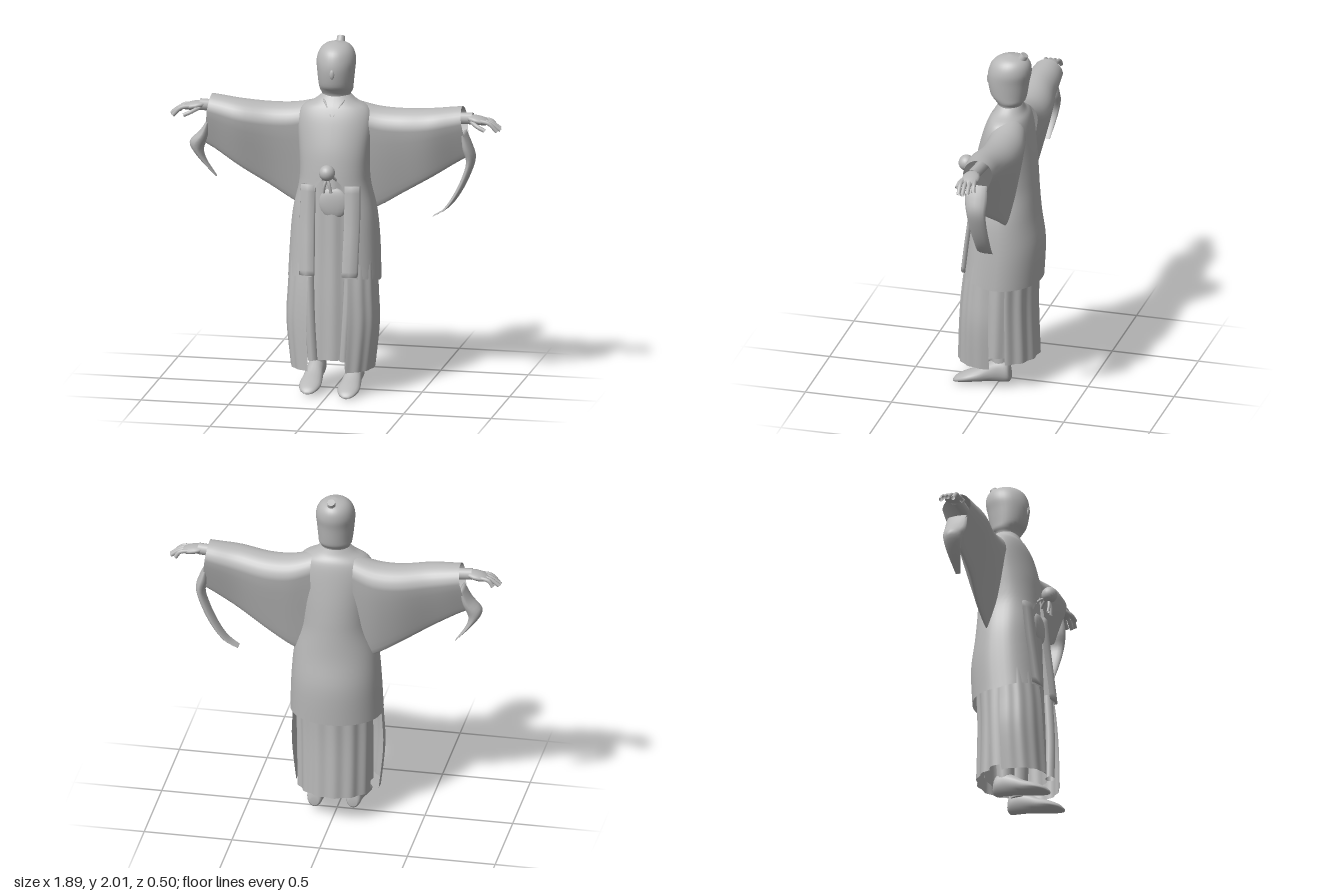
import * as THREE from 'three';

const cloth = new THREE.MeshStandardMaterial({ color: 0xb8b8b8, side: THREE.DoubleSide });
cloth.name = 'plain grey';
const V = (x, y, z) => new THREE.Vector3(x, y, z);

// Skin a surface over rings of equal length
function loft(rings, closed = true, caps = false) {
  const n = rings[0].length, pos = [], index = [];
  rings.forEach(r => r.forEach(p => pos.push(p.x, p.y, p.z)));
  const cols = closed ? n : n - 1;
  for (let i = 0; i < rings.length - 1; i++) for (let j = 0; j < cols; j++) {
    const k = (j + 1) % n, a = i * n + j, b = i * n + k, c = a + n, d = b + n;
    index.push(a, c, b, b, c, d);
  }
  if (caps) [0, rings.length - 1].forEach(i => {
    const mid = rings[i].reduce((s, p) => s.add(p), V(0, 0, 0)).divideScalar(n);
    const m = pos.length / 3;
    pos.push(mid.x, mid.y, mid.z);
    for (let j = 0; j < n; j++) {
      const a = i * n + j, b = i * n + (j + 1) % n;
      i ? index.push(m, b, a) : index.push(m, a, b);
    }
  });
  const g = new THREE.BufferGeometry();
  g.setAttribute('position', new THREE.Float32BufferAttribute(pos, 3));
  g.setIndex(index);
  g.computeVertexNormals();
  return g;
}

// Smoothly subdivide rows of section values
function refine(rows, k = 4) {
  const out = [], at = i => rows[Math.min(Math.max(i, 0), rows.length - 1)];
  for (let i = 0; i < rows.length - 1; i++) for (let s = 0; s < k; s++) {
    const t = s / k;
    out.push(at(i).map((b, c) => {
      const a = at(i - 1)[c], d = at(i + 1)[c], e = at(i + 2)[c];
      return b + 0.5 * t * (d - a + t * (2 * a - 5 * b + 4 * d - e + t * (3 * (b - d) + e - a)));
    }));
  }
  out.push(rows[rows.length - 1]);
  return out;
}

// Horizontal section: row = [y, half width, front z, back z], angle 0 faces front,
// a power below 1 squares off the front half
function section([y, w, f, b], from, to, n, { ripple = 0, folds = 0, power = 1, closed = false } = {}) {
  const mid = (f + b) / 2, d = (f - b) / 2;
  return Array.from({ length: n }, (_, j) => {
    const a = from + (to - from) * j / (closed ? n : n - 1);
    const s = 1 + ripple * Math.sin(a * folds), c = Math.cos(a);
    return V(w * s * Math.sin(a), y, mid + d * s * (c > 0 ? c ** power : c));
  });
}

const body = (rows, n = 32) => loft(refine(rows).map(r => section(r, 0, Math.PI * 2, n, { closed: true })), true, true);

function tube(points, r, n = 10) {
  return new THREE.TubeGeometry(new THREE.CatmullRomCurve3(points.map(p => V(...p))), n, r, 8);
}

export function createModel() {
  const root = new THREE.Group();
  root.name = 'robedFigure';
  const add = (name, geometry, parent = root) => {
    const m = new THREE.Mesh(geometry, cloth);
    m.name = name;
    parent.add(m);
    return m;
  };

  // Head, nose and hair knot
  add('head', body([[1.62, .085, .01, -.12], [1.685, .08, .018, -.115], [1.715, .093, .035, -.135], [1.75, .098, .062, -.145],
    [1.83, .106, .078, -.158], [1.89, .11, .073, -.17], [1.94, .095, .052, -.163], [1.972, .062, .01, -.13], [1.986, .008, -.045, -.06]]));
  const nose = add('nose', new THREE.SphereGeometry(1, 10, 8));
  nose.scale.set(.014, .028, .01);
  nose.position.set(0, 1.825, .076);
  const knot = add('hairKnot', new THREE.CylinderGeometry(.022, .026, .055, 12));
  knot.position.set(.008, 1.973, -.122);
  knot.rotation.x = -.55;

  // Coat, open down the front below the chest
  const coat = refine([[1.69, .078, .015, -.12, 0], [1.655, .12, .035, -.135, 0], [1.615, .19, .06, -.16, 0], [1.54, .215, .09, -.178, 0],
    [1.4, .205, .128, -.197, 0], [1.28, .198, .146, -.207, .02], [1.18, .203, .155, -.212, .42], [1.03, .236, .168, -.222, .42],
    [.85, .252, .187, -.245, .38], [.64, .26, .205, -.236, .36]]);
  add('coat', loft(coat.map(r => section(r, r[4], Math.PI * 2 - r[4], 49, { power: .72 }).map(p =>
    r[0] < .75 ? V(p.x, p.y + (.75 - r[0]) * .4 * Math.max(0, p.z / .2), p.z) : p)), false));

  // Robe seen through the opening
  add('innerRobe', loft(refine([[1.3, .17, .13, -.16], [1.1, .18, .142, -.17], [.8, .19, .152, -.18], [.5, .2, .165, -.18], [.2, .2, .172, -.17]])
    .map(r => section(r, 0, Math.PI * 2, 80, { ripple: .025, folds: 12, closed: true }))));
  const sash = add('sashFold', new THREE.SphereGeometry(1, 16, 12));
  sash.scale.set(.085, .09, .024);
  sash.position.set(.02, 1.1, .13);

  // Pleated back skirt
  add('backSkirt', loft(refine([[.75, .225, .16, -.215], [.5, .22, .16, -.205], [.17, .215, .17, -.215]])
    .map(r => section(r, 1.85, Math.PI * 2 - 1.85, 70, { ripple: .025, folds: 14 })), false));

  // Sleeve: rounded over the arm, drawn to a thin hanging edge
  const sleeve = refine([[.12, .12, 1.645, 1.0, -.075, .1], [.24, .24, 1.617, 1.045, -.085, .11], [.38, .38, 1.612, 1.13, -.08, .11],
    [.54, .55, 1.627, 1.235, -.055, .105], [.66, .69, 1.64, 1.325, -.062, .092], [.715, .755, 1.645, 1.36, -.065, .085]]);
  const sleeveRings = sleeve.map(([xt, xb, yt, yb, zc, r]) => Array.from({ length: 32 }, (_, j) => {
    const a = j / 32 * Math.PI * 2, c = Math.cos(a), mid = yt - r;
    const y = c > 0 ? mid + r * c : mid + (mid - yb) * c;
    return V(xt + (xb - xt) * (yt - y) / (yt - yb), y, zc + r * Math.sin(a) * (c < 0 ? 1 + .68 * c : 1));
  }));

  // Hanging sleeve tail: row = [x, y, thickness, half depth, z]
  const tail = rows => loft(refine(rows).map(([x, y, t, d, z]) => Array.from({ length: 14 }, (_, j) => {
    const a = j / 14 * Math.PI * 2;
    return V(x + t * Math.cos(a), y + t * .5 * Math.cos(a), z + d * Math.sin(a));
  })), true, true);
  const tails = {
    left: [[.725, 1.5, .01, .06, -.06], [.745, 1.42, .025, .065, -.06], [.765, 1.34, .026, .055, -.065], [.735, 1.24, .026, .05, -.07],
      [.68, 1.13, .025, .046, -.075], [.62, 1.05, .02, .042, -.075], [.55, 1.005, .005, .03, -.075]],
    right: [[.725, 1.5, .01, .06, -.06], [.755, 1.42, .025, .065, -.06], [.8, 1.345, .04, .055, -.06], [.77, 1.27, .025, .04, -.065],
      [.69, 1.17, .003, .015, -.07]],
  };

  for (const [side, s] of [['left', 1], ['right', -1]]) {
    const half = new THREE.Group();
    half.name = side + 'Side';
    half.scale.x = s;
    root.add(half);

    add('sleeve', loft(sleeveRings), half);
    add('sleeveTail', tail(tails[side]), half);

    // Arm, palm, fingers and thumb
    add('arm', tube([[.4, 1.55, -.07], [.62, 1.575, -.06], [.78, 1.583, -.05]], .034), half);
    const palm = add('palm', new THREE.SphereGeometry(1, 14, 10), half);
    palm.scale.set(.072, .024, .05);
    palm.position.set(.81, 1.577, -.048);
    palm.rotation.z = -.2;
    [[-.085, .905], [-.058, .935], [-.033, .94], [-.008, .925]].forEach(([z, x], i) =>
      add('finger' + (i + 1), tube([[.82, 1.577, -.048 + (z + .048) * .8], [.88, 1.567, z], [x, 1.535 - i * .004, z * 1.05]], .012), half));
    add('thumb', tube([[.775, 1.572, -.02], [.82, 1.55, .012], [.86, 1.532, .018]], .012), half);

    // Flat front band lying along the coat's edge
    add('coatLapel', loft(refine([[1.2, .125, .136], [1.0, .128, .157], [.85, .125, .177], [.69, .122, .197]]).map(([y, x, z]) =>
      [V(x - .045, y, z - .02), V(x - .04, y, z + .004), V(x, y, z + .006), V(x + .04, y, z - .008), V(x + .045, y, z - .03)]), true, true), half);

    // Front skirt panel
    add('frontSkirt', loft(refine([[.78, .246, .186, -.19], [.6, .255, .212, -.19], [.4, .262, .228, -.2], [.145, .236, .24, -.21]])
      .map(r => section(r, .46, 1.6, 30, { ripple: .012, folds: 18, power: .72 })), false), half);
    add('skirtPleat', tube([[.115, .72, .15], [.105, .45, .168], [.09, .2, .172]], .028, 14), half);

    // Leg and shoe
    add('leg', new THREE.CylinderGeometry(.065, .048, .5, 16).translate(.1, .36, -.02), half);
    const lift = s > 0 ? 0 : .015, cx = s > 0 ? .115 : .105;
    // row = [z, bottom, top, half width]
    const shoe = refine([[-.085, .045, .09, .025], [-.07, .032, .15, .042], [-.02, .028, .17, .047], [.04, .024, .14, .05],
      [.1, .016, .1, .057], [.17, .008, .07, .062], [.225, .002, .04, .045], [.248, .002, .015, .015]]);
    add('shoe', loft(shoe.map(([z, b, t, w]) => Array.from({ length: 18 }, (_, j) => {
      const a = j / 18 * Math.PI * 2;
      return V(cx + w * Math.cos(a), lift + (b + t) / 2 + (t - b) / 2 * Math.sin(a), z);
    })), true, true), half);

    // Coat cord and its hanging end
    add('coatCord', tube([[.04, 1.235, .14], [.02, 1.26, .165], [0, 1.27, .2]], .008), half);
    add('cordEnd', tube([[0, 1.26, .2], [.014, 1.22, .208], [.022, 1.175, .205]], .009), half);
    // Crossed collar fold
    add('collar', tube([[.075, 1.683, -.05], [.055, 1.662, .018], [.005, 1.58, .07]], .007), half);
  }

  // Pompom on the coat cord
  add('pompom', new THREE.SphereGeometry(.045, 20, 14)).position.set(0, 1.29, .205);
  return root;
}
